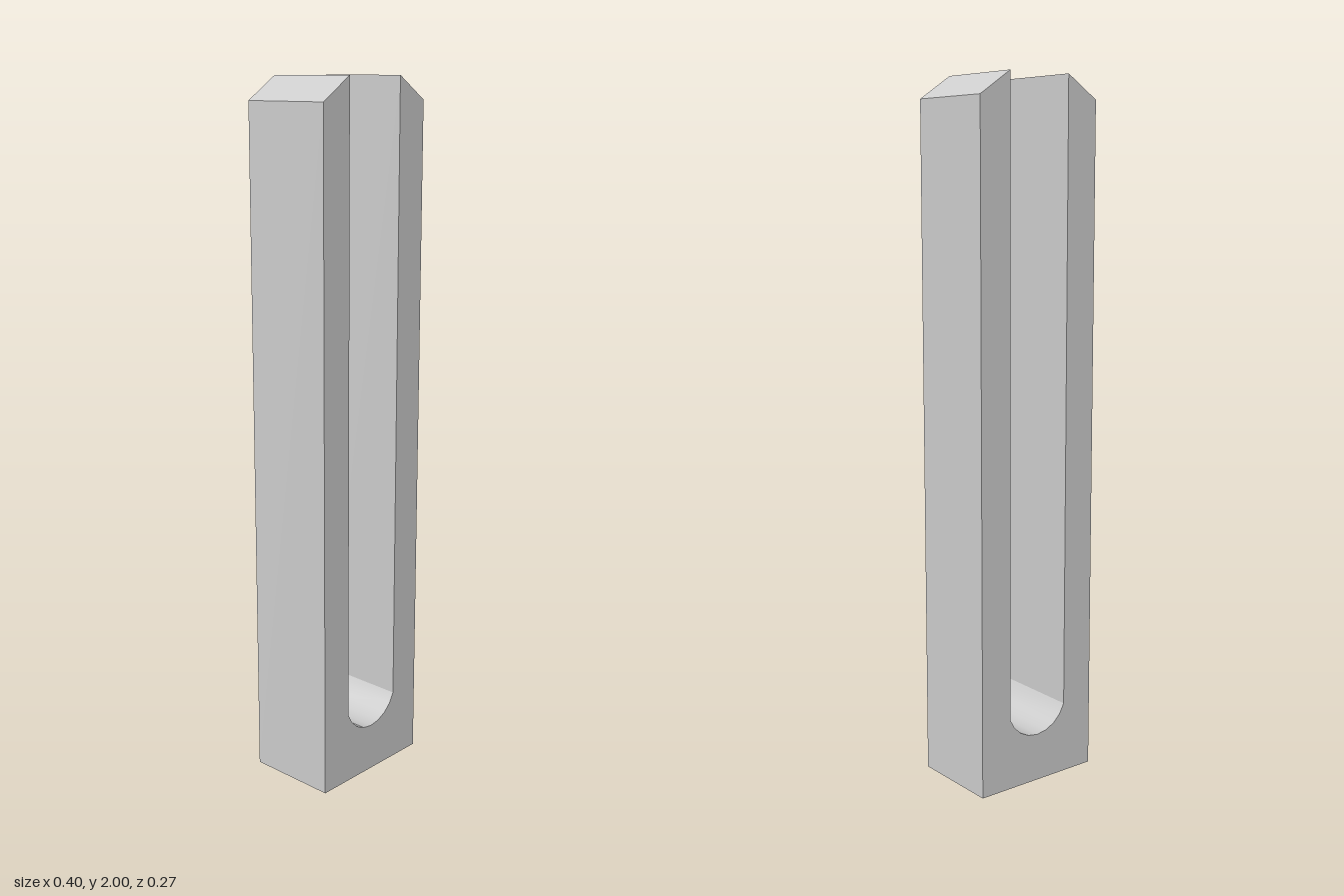
import * as THREE from 'three';
import { toCreasedNormals } from 'three/addons/utils/BufferGeometryUtils.js';

const HALF_WIDTH = 0.199, HALF_SLOT = 0.1, DEPTH = 0.27;
const TOP = 2, SHOULDER = 1.935;        // inner and outer height of the prongs
const SLOT_FLOOR = 0.14, SLOT_EDGE = 0.21; // lowest point and rim of the rounded slot end

export function createModel() {
  const group = new THREE.Group();
  group.name = 'slottedFork';

  // Circle through the slot floor and both rim points
  const sag = SLOT_EDGE - SLOT_FLOOR;
  const radius = (HALF_SLOT ** 2 + sag ** 2) / (2 * sag);
  const centreY = SLOT_FLOOR + radius;
  const angle = Math.atan2(SLOT_EDGE - centreY, HALF_SLOT);

  // U-shaped outline with bevelled prong tips
  const outline = new THREE.Shape();
  outline.moveTo(-HALF_WIDTH, 0);
  outline.lineTo(HALF_WIDTH, 0);
  outline.lineTo(HALF_WIDTH, SHOULDER);
  outline.lineTo(HALF_SLOT, TOP);
  outline.lineTo(HALF_SLOT, SLOT_EDGE);
  outline.absarc(0, centreY, radius, angle, -Math.PI - angle, true);
  outline.lineTo(-HALF_SLOT, TOP);
  outline.lineTo(-HALF_WIDTH, SHOULDER);
  outline.closePath();

  const geometry = new THREE.ExtrudeGeometry(outline, { depth: DEPTH, bevelEnabled: false, curveSegments: 4 });
  geometry.translate(0, 0, -DEPTH / 2);

  // Smooth slot floor, sharp everywhere else
  const body = new THREE.Mesh(
    toCreasedNormals(geometry, THREE.MathUtils.degToRad(23)),
    new THREE.MeshStandardMaterial({ color: 0xcccccc })
  );
  body.name = 'forkBody';
  group.add(body);
  return group;
}
